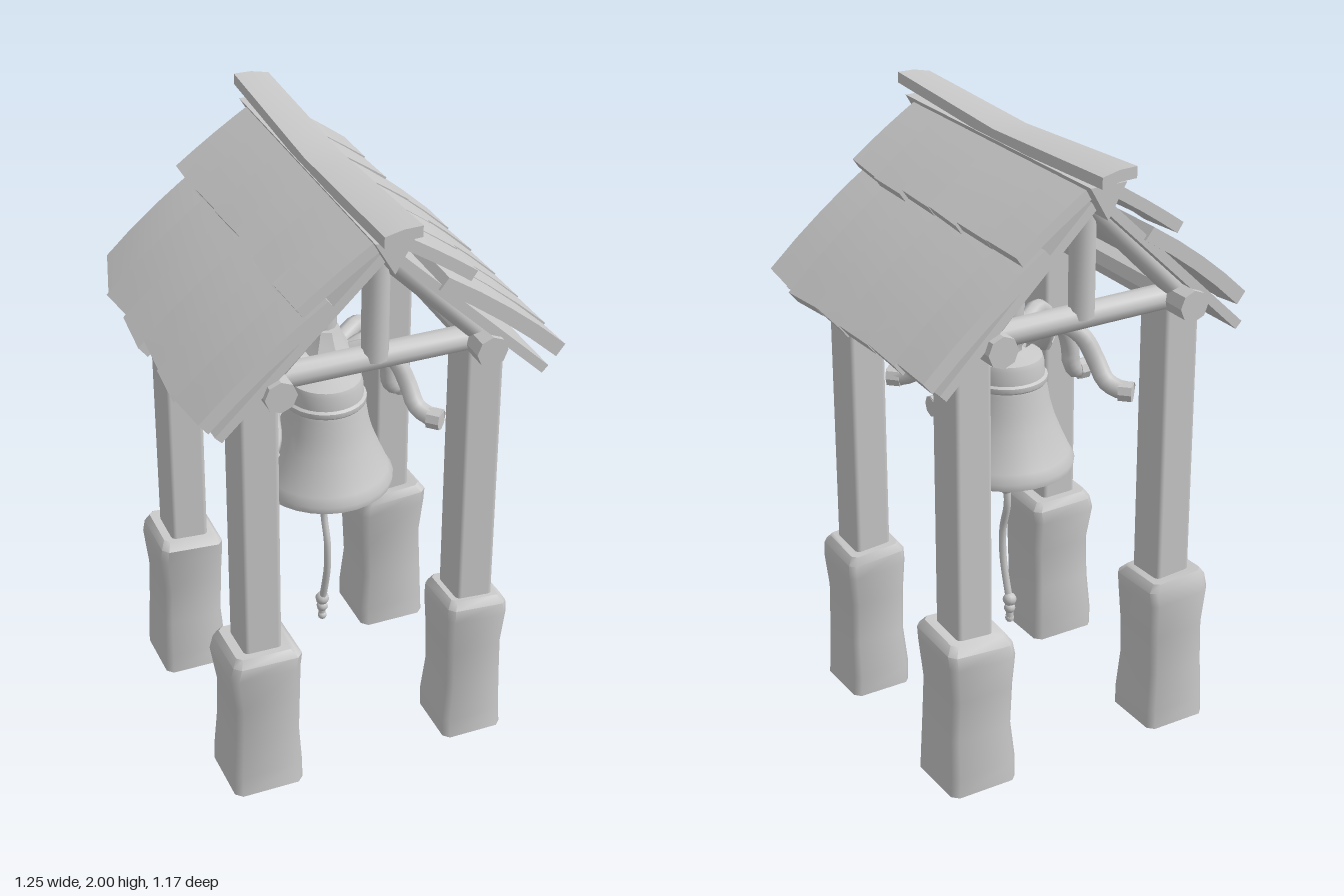
import * as THREE from 'three';
import { toCreasedNormals } from 'three/addons/utils/BufferGeometryUtils.js';
import { RoundedBoxGeometry } from 'three/addons/geometries/RoundedBoxGeometry.js';

const V = (x, y, z) => new THREE.Vector3(x, y, z);

export function createModel() {
  const root = new THREE.Group();
  root.name = 'bellTower';
  const frame = new THREE.Group();
  frame.name = 'frame';
  frame.rotation.y = -0.095; // the whole shelter stands slightly turned
  root.add(frame);

  const clay = new THREE.MeshStandardMaterial({ color: 0xc8c8c8, side: THREE.DoubleSide });
  clay.name = 'plainGrey';

  let seed = 7;
  const rnd = (a) => {
    seed = (seed * 16807) % 2147483647;
    return (seed / 2147483647 * 2 - 1) * a;
  };
  const add = (name, geo, parent = frame) => {
    const m = new THREE.Mesh(geo, clay);
    m.name = name;
    parent.add(m);
    return m;
  };
  const warp = (geo, fn) => {
    const p = geo.attributes.position, v = V();
    for (let i = 0; i < p.count; i++) {
      v.fromBufferAttribute(p, i);
      fn(v);
      p.setXYZ(i, v.x, v.y, v.z);
    }
    return toCreasedNormals(geo, 0.6);
  };
  // straight round timber between two points
  const beam = (name, a, b, r, sides = 10) => {
    const d = b.clone().sub(a);
    const geo = new THREE.CylinderGeometry(r, r, d.length(), sides);
    const m = add(name, toCreasedNormals(geo, 0.7));
    m.position.copy(a).add(b).multiplyScalar(0.5);
    m.quaternion.setFromUnitVectors(V(0, 1, 0), d.normalize());
    return m;
  };

  // rough stone foot: chamfered square sections, open underneath
  const footGeometry = (hx, hz) => {
    const rows = [[0, 1], [0.07, 0.99], [0.2, 0.92], [0.34, 0.92], [0.46, 1], [0.505, 0.98], [0.53, 0.82]];
    const pos = [], idx = [];
    const tx = rnd(0.08), tz = rnd(0.08);
    for (const [y, h] of rows) {
      const c = h * 0.82, dx = y ? rnd(0.005) : 0, dz = y ? rnd(0.005) : 0;
      for (const [u, w] of [[c, h], [h, c], [h, -c], [c, -h], [-c, -h], [-h, -c], [-h, c], [-c, h]]) {
        const x = u * hx, z = w * hz;
        pos.push(x + dx, y + (y > 0.4 ? x * tx + z * tz : 0), z + dz);
      }
    }
    for (let r = 0; r < rows.length - 1; r++)
      for (let i = 0; i < 8; i++) {
        const a = r * 8 + i, b = r * 8 + (i + 1) % 8;
        idx.push(a, b, b + 8, a, b + 8, a + 8);
      }
    const t = (rows.length - 1) * 8;
    for (let i = 1; i < 7; i++) idx.push(t, t + i, t + i + 1);
    const g = new THREE.BufferGeometry();
    g.setAttribute('position', new THREE.Float32BufferAttribute(pos, 3));
    g.setIndex(idx);
    return toCreasedNormals(g, 0.85);
  };

  // four posts on stone feet: side x, side z, foot half sizes, foot x and z
  for (const [sx, sz, hx, hz, fx, fz] of [
    [1, 1, 0.103, 0.108, 0.36, 0.33], [-1, 1, 0.116, 0.116, -0.36, 0.33],
    [1, -1, 0.116, 0.118, 0.362, -0.335], [-1, -1, 0.108, 0.112, -0.368, -0.34]]) {
    const foot = add('stoneFoot', footGeometry(hx, hz));
    foot.position.set(fx, 0, fz);
    const post = add('post', new RoundedBoxGeometry(0.125, 0.98, 0.14, 3, 0.016));
    post.position.set(sx * 0.36 + (sz < 0 ? sx * 0.006 : 0), 0.98, sz * 0.332);
  }

  // timber frame
  for (const s of [-1, 1]) {
    beam('sideBeam', V(s * 0.33, 1.497, -0.508), V(s * 0.33, 1.497, 0.502), 0.05, 8);
    beam('crossBeam', V(-0.33, 1.497, s * 0.39), V(0.33, 1.497, s * 0.39), 0.04);
    beam('kingPost', V(0, 1.5, s * 0.4), V(0, 1.92, s * 0.4), 0.041);
    for (const t of [-1, 1])
      beam('rafter', V(0, 1.86, t * 0.41), V(s * 0.345, 1.51, t * 0.41), 0.037);
  }
  beam('hangerPost', V(0, 1.34, 0), V(0, 1.92, 0), 0.046);
  const ridgeBeam = new THREE.CylinderGeometry(0.07, 0.07, 1.06, 3, 8);
  ridgeBeam.rotateX(Math.PI / 2);
  add('ridgeBeam', warp(ridgeBeam, (v) => { v.y += 1.905; }));
  const cap = new THREE.BoxGeometry(0.115, 0.035, 1.165, 2, 1, 10);
  add('ridgeCap', warp(cap, (v) => {
    const k = v.z / 0.5825;
    v.y += 1.957 + 0.025 * Math.abs(k) - 0.1 * Math.abs(v.x) + v.x * k * 0.12;
  }));

  // bent slab following a sloping line, x outward; used for boards and shingles
  const slab = (a, b, thick, z0, z1, bulge, lift = 0, skew = 0) => {
    const g = new THREE.BoxGeometry(1, thick, z1 - z0, 4, 1, 1);
    const dx = b[0] - a[0], dy = b[1] - a[1], len = Math.hypot(dx, dy);
    return warp(g, (v) => {
      const t = v.x + 0.5, n = v.y + bulge * 4 * t * (1 - t), side = v.z / (z1 - z0) * t;
      v.set(a[0] + dx * t - dy / len * n + skew * side,
        a[1] + dy * t + dx / len * n + (lift - skew * 0.8) * side, v.z + (z0 + z1) / 2);
    });
  };
  const roofSide = (name, turn) => {
    const side = new THREE.Group();
    side.name = name;
    side.rotation.y = turn;
    frame.add(side);
    add('roofBoard', slab([0, 1.885], [0.515, 1.39], 0.03, -0.485, 0.485, 0), side);
    const n = 6, w = 0.985 / n;
    for (let i = 0; i < n; i++) {
      const z0 = -0.4925 + i * w, z1 = z0 + w + 0.002;
      const e = rnd(0.008), f = rnd(0.006), corner = turn && i === n - 1;
      add('lowerShingle', slab([0.17, 1.752], [(corner ? 0.545 : 0.568) + e, (corner ? 1.455 : 1.437) - e * 0.8],
        0.046, z0, z1, 0.012, 0.006 + rnd(0.005), corner ? -0.05 : rnd(0.015)), side);
      add('upperShingle', slab([0.015, 1.925], [0.272 + f, 1.75 - f * 0.7],
        0.036, z0, z1, 0.004, 0.005 + rnd(0.005), rnd(0.01)), side);
    }
  };
  roofSide('leftRoof', 0);
  roofSide('rightRoof', Math.PI);

  // bell, hollow below, with yoke on top
  const bell = new THREE.Group();
  bell.name = 'bell';
  bell.position.z = 0.018;
  root.add(bell);
  const lathe = (name, pts, sides, crease) => {
    const g = new THREE.LatheGeometry(pts.map(([r, y]) => new THREE.Vector2(r, y)), sides);
    return add(name, toCreasedNormals(g, crease), bell);
  };
  lathe('bellBody', [[0, 1.17], [0.09, 1.16], [0.115, 1.05], [0.145, 0.95], [0.185, 0.86], [0.2, 0.845],
    [0.215, 0.85], [0.218, 0.872], [0.202, 0.9], [0.18, 0.95], [0.156, 1.01], [0.139, 1.07], [0.129, 1.13],
    [0.127, 1.14], [0.131, 1.145], [0.131, 1.16], [0.122, 1.166], [0.119, 1.21], [0.114, 1.226], [0.06, 1.24], [0, 1.25]], 28, 0.7);
  lathe('yoke', [[0, 1.22], [0.05, 1.23], [0.05, 1.255], [0.085, 1.32], [0.055, 1.375], [0.045, 1.4], [0, 1.4]], 8, 0.5);
  lathe('clapper', [[0, 1.17], [0.015, 1.16], [0.015, 0.9], [0.04, 0.87], [0.042, 0.81], [0.025, 0.795],
    [0.02, 0.775], [0.028, 0.765], [0.015, 0.74], [0, 0.74]], 12, 0.6);

  // pull rope with knots
  const rope = new THREE.CatmullRomCurve3([V(0, 0.78, 0.018), V(0, 0.7, 0.012), V(0, 0.6, 0.036),
    V(0, 0.5, 0.036), V(0, 0.42, 0.02), V(0, 0.35, 0.003), V(0, 0.27, -0.003)]);
  add('rope', new THREE.TubeGeometry(rope, 24, 0.012, 8), root);
  for (const [y, r] of [[0.35, 0.023], [0.318, 0.019], [0.28, 0.015]])
    add('knot', new THREE.SphereGeometry(r, 10, 8), root).position.set(0, y, 0);

  // curved iron arms: one to each side, four towards the posts
  const diagonalPath = [[0.04, 1.29, 0.02], [0.1, 1.315, 0.05], [0.15, 1.325, 0.08], [0.2, 1.285, 0.11],
    [0.228, 1.21, 0.145], [0.238, 1.155, 0.185], [0.262, 1.135, 0.22], [0.293, 1.13, 0.255]];
  const sidePath = [[0.04, 1.27, 0], [0.1, 1.295, 0], [0.15, 1.31, 0], [0.2, 1.275, 0],
    [0.225, 1.2, 0], [0.23, 1.15, 0], [0.25, 1.122, 0], [0.285, 1.12, 0]];
  for (const sx of [-1, 1]) for (const sz of [-1, 0, 1]) {
    const pts = (sz ? diagonalPath : sidePath).map(([x, y, z]) => V(sx * x, y, sz * z));
    add('hangerArm', new THREE.TubeGeometry(new THREE.CatmullRomCurve3(pts), 20, 0.03, 8));
    beam('armEnd', pts[7].clone().add(V(-sx * 0.03, 0, -sz * 0.03)), pts[7], 0.034, 8);
  }

  return root;
}
